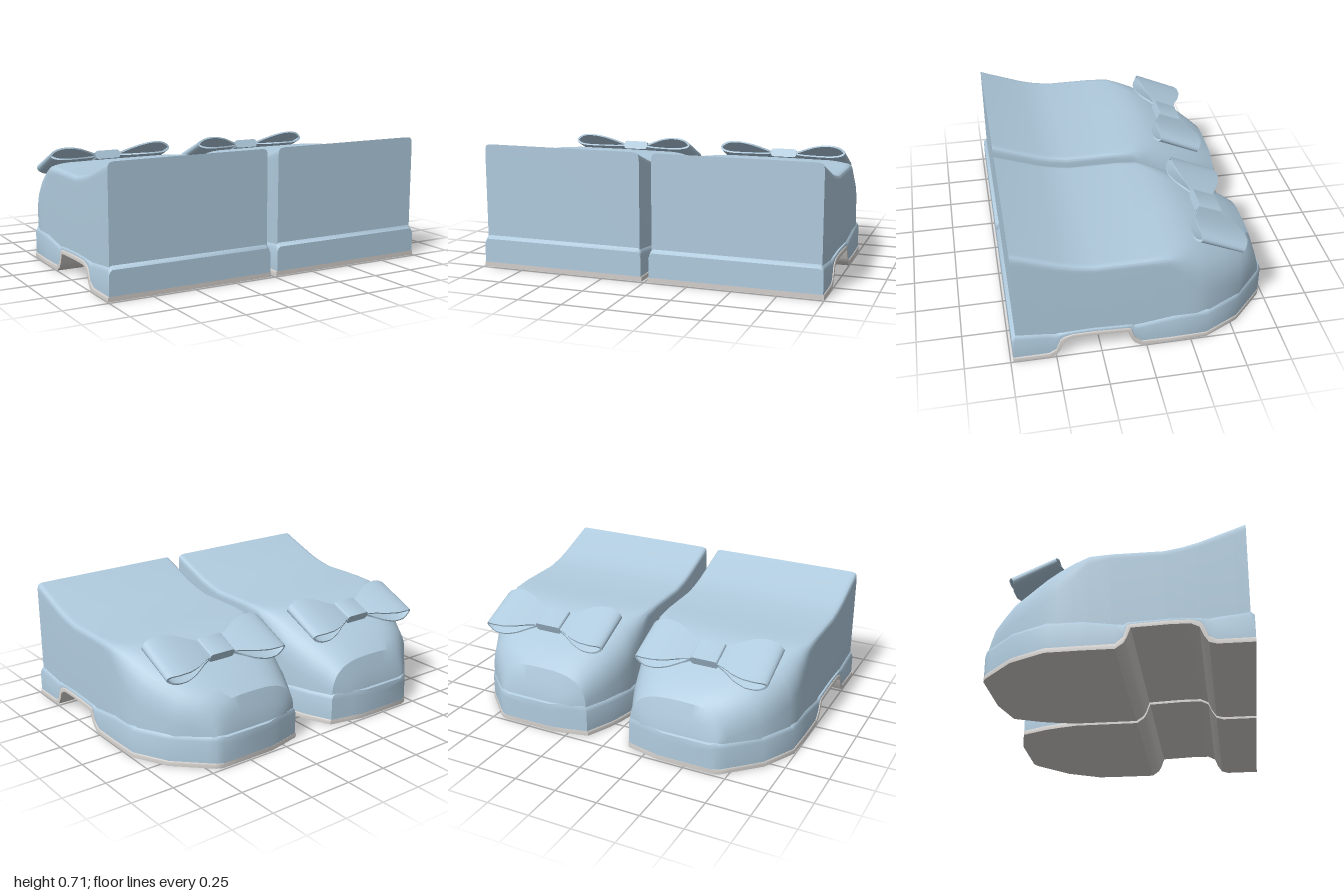
import * as THREE from 'three';
import { toCreasedNormals } from 'three/addons/utils/BufferGeometryUtils.js';

// Piecewise-linear lookup, tables sorted from heel (+z) to toe (-z)
function lerpTable(table, z) {
  if (z >= table[0][0]) return table[0][1];
  for (let i = 1; i < table.length; i++) {
    const [z0, a] = table[i - 1], [z1, b] = table[i];
    if (z >= z1) return a + (b - a) * (z0 - z) / (z0 - z1);
  }
  return table[table.length - 1][1];
}

// Plan outline of one shoe: inner and outer edge
const INNER = [[0.72, 0.025], [-0.36, 0.025], [-0.53, 0.07], [-0.69, 0.14], [-0.74, 0.36]];
const OUTER = [[0.72, 0.99], [-0.33, 0.99], [-0.55, 0.88], [-0.72, 0.7], [-0.74, 0.66]];

// Skin rings of points; either capped at both ends or joined into a loop
function loft(rings, looped, crease) {
  const m = rings[0].length, n = rings.length, pos = rings.flat(2), idx = [];
  for (let i = 0; i < (looped ? n : n - 1); i++) {
    const k = (i + 1) % n;
    for (let j = 0; j < m; j++) {
      const l = (j + 1) % m;
      idx.push(i * m + j, k * m + j, k * m + l, i * m + j, k * m + l, i * m + l);
    }
  }
  if (!looped) {
    [0, n - 1].forEach((r, end) => {
      const c = pos.length / 3;
      for (let a = 0; a < 3; a++) pos.push(rings[r].reduce((s, p) => s + p[a], 0) / m);
      for (let j = 0; j < m; j++) {
        const p = r * m + j, q = r * m + (j + 1) % m;
        if (end) idx.push(c, q, p); else idx.push(c, p, q);
      }
    });
  }
  // Turn faces outward by the sign of the enclosed volume
  const v = (i) => new THREE.Vector3().fromArray(pos, idx[i] * 3);
  let volume = 0;
  for (let i = 0; i < idx.length; i += 3) volume += v(i).dot(v(i + 1).cross(v(i + 2)));
  if (volume < 0) idx.reverse();
  const g = new THREE.BufferGeometry();
  g.setAttribute('position', new THREE.Float32BufferAttribute(pos, 3));
  g.setIndex(idx);
  return toCreasedNormals(g, crease);
}

// Shoe body: squared sections at the heel, rounder ones at the toe
function upperGeometry(s) {
  const base = 0.14, SEG = 20;
  // z, top height, squareness
  const stations = [
    [0.715, 0.715, 40], [0.65, 0.69, 40], [0.46, 0.62, 40], [0.38, 0.598, 40], [0.28, 0.58, 40],
    [0, 0.58, 40], [-0.12, 0.58, 24], [-0.2, 0.578, 9], [-0.28, 0.565, 5.5], [-0.36, 0.535, 4.4],
    [-0.45, 0.498, 3.8], [-0.55, 0.448, 3.4], [-0.62, 0.408, 3.2], [-0.68, 0.365, 3], [-0.705, 0.28, 3], [-0.725, 0.19, 3],
  ];
  return loft(stations.map(([z, top, n]) => {
    const a = lerpTable(INNER, z) + 0.01, b = lerpTable(OUTER, z) - 0.01;
    const ring = [];
    for (let i = 0; i <= SEG; i++) {
      const t = Math.PI * i / SEG, c = Math.cos(t);
      const x = (a + b) / 2 + (b - a) / 2 * Math.sign(c) * Math.abs(c) ** (2 / n);
      const y = base + (top - base) * Math.max(0, Math.sin(t)) ** (2 / n);
      ring.push([s * x, i === 0 || i === SEG ? base : y, z]);
    }
    return ring;
  }), false, 0.6);
}

// Side profile of the sole: z, outsole underside, outsole top, midsole top
const SOLE = [
  [0.735, 0, 0.027, 0.165], [0.715, 0, 0.027, 0.183], [0.54, 0, 0.027, 0.165], [0.5, 0.012, 0.05, 0.158],
  [0.475, 0.05, 0.115, 0.155], [0.455, 0.1, 0.132, 0.155], [0.41, 0.122, 0.145, 0.157], [0.3, 0.123, 0.147, 0.16],
  [0.105, 0.115, 0.138, 0.152], [0.085, 0.06, 0.13, 0.15], [0.068, 0.03, 0.07, 0.15], [0.025, 0, 0.03, 0.155],
  [-0.15, 0, 0.028, 0.18], [-0.34, 0, 0.028, 0.182], [-0.45, 0, 0.028, 0.184], [-0.54, 0, 0.028, 0.184],
  [-0.69, 0, 0.028, 0.184], [-0.72, 0, 0.028, 0.184], [-0.737, 0, 0.028, 0.175],
];

// One sole layer between two columns of the profile, with softened upper edges
function soleGeometry(s, lo, hi, grow, round) {
  return loft(SOLE.map((row) => {
    const z = row[0], y0 = row[lo], y1 = row[hi];
    const a = lerpTable(INNER, z) - grow, b = lerpTable(OUTER, z) + grow;
    const r = Math.min(round, (y1 - y0) * 0.4);
    const inset = r * 0.7;
    return [
      [a, y0], [b, y0], [b, y1 - r], [b - inset * 0.3, y1 - r * 0.4], [b - inset, y1],
      [a + inset, y1], [a + inset * 0.3, y1 - r * 0.4], [a, y1 - r],
    ].map(([x, y]) => [s * x, y, z]);
  }), false, 0.6);
}

// Flared ribbon loop of the bow, hollow from front to back
function bowLoopGeometry(s) {
  const rings = [], N = 28, thick = 0.009;
  const depth = [[-0.06, 0.06], [-0.12, 0.085], [-0.2, 0.13], [-0.27, 0.15], [-0.34, 0.15], [-0.395, 0.13]];
  for (let i = 0; i < N; i++) {
    const t = 2 * Math.PI * i / N, k = (1 - Math.cos(t)) / 2;
    const u = 0.06 + 0.335 * k;
    const v = 0.046 * Math.sin(t) * (0.4 + 0.75 * k);
    const ui = 0.06 + thick + (0.335 - 2 * thick) * k;
    const vi = Math.sign(v) * Math.max(0, Math.abs(v) - thick);
    const d = lerpTable(depth, -u);
    rings.push([[s * u, v, d], [s * u, v, -d], [s * ui, vi, -d], [s * ui, vi, d]]);
  }
  return loft(rings, true, 0.7);
}

// Rounded band around the middle of the bow
function knotGeometry() {
  const w = 0.08, h = 0.026, r = 0.018;
  const shape = new THREE.Shape();
  shape.moveTo(-w + r, -h).lineTo(w - r, -h).quadraticCurveTo(w, -h, w, -h + r)
    .lineTo(w, h - r).quadraticCurveTo(w, h, w - r, h)
    .lineTo(-w + r, h).quadraticCurveTo(-w, h, -w, h - r)
    .lineTo(-w, -h + r).quadraticCurveTo(-w, -h, -w + r, -h);
  const g = new THREE.ExtrudeGeometry(shape, { depth: 0.14, bevelEnabled: false, curveSegments: 4 });
  return toCreasedNormals(g.translate(0, 0, -0.07), 0.6);
}

export function createModel() {
  const blue = new THREE.MeshStandardMaterial({ color: 0xb0cbde });
  blue.name = 'paleBlueLeather';
  const grey = new THREE.MeshStandardMaterial({ color: 0xd2cfcc });
  grey.name = 'lightGreyRubber';

  const model = new THREE.Group();
  model.name = 'pairOfShoes';
  const add = (parent, name, geometry, material) => {
    const mesh = new THREE.Mesh(geometry, material);
    mesh.name = name;
    parent.add(mesh);
  };

  for (const s of [1, -1]) {
    const shoe = new THREE.Group();
    shoe.name = s > 0 ? 'leftShoe' : 'rightShoe';
    add(shoe, 'upper', upperGeometry(s), blue);
    add(shoe, 'midsole', soleGeometry(s, 2, 3, 0.002, 0.03), blue);
    add(shoe, 'outsole', soleGeometry(s, 1, 2, 0.008, 0.006), grey);

    // Bow resting on the sloping toe
    const bow = new THREE.Group();
    bow.name = 'bow';
    add(bow, 'outerLoop', bowLoopGeometry(s), blue);
    add(bow, 'innerLoop', bowLoopGeometry(-s), blue);
    add(bow, 'knot', knotGeometry(), blue);
    bow.position.set(s * 0.5, 0.552, -0.432);
    bow.rotation.x = -0.42;
    shoe.add(bow);
    model.add(shoe);
  }
  return model;
}
